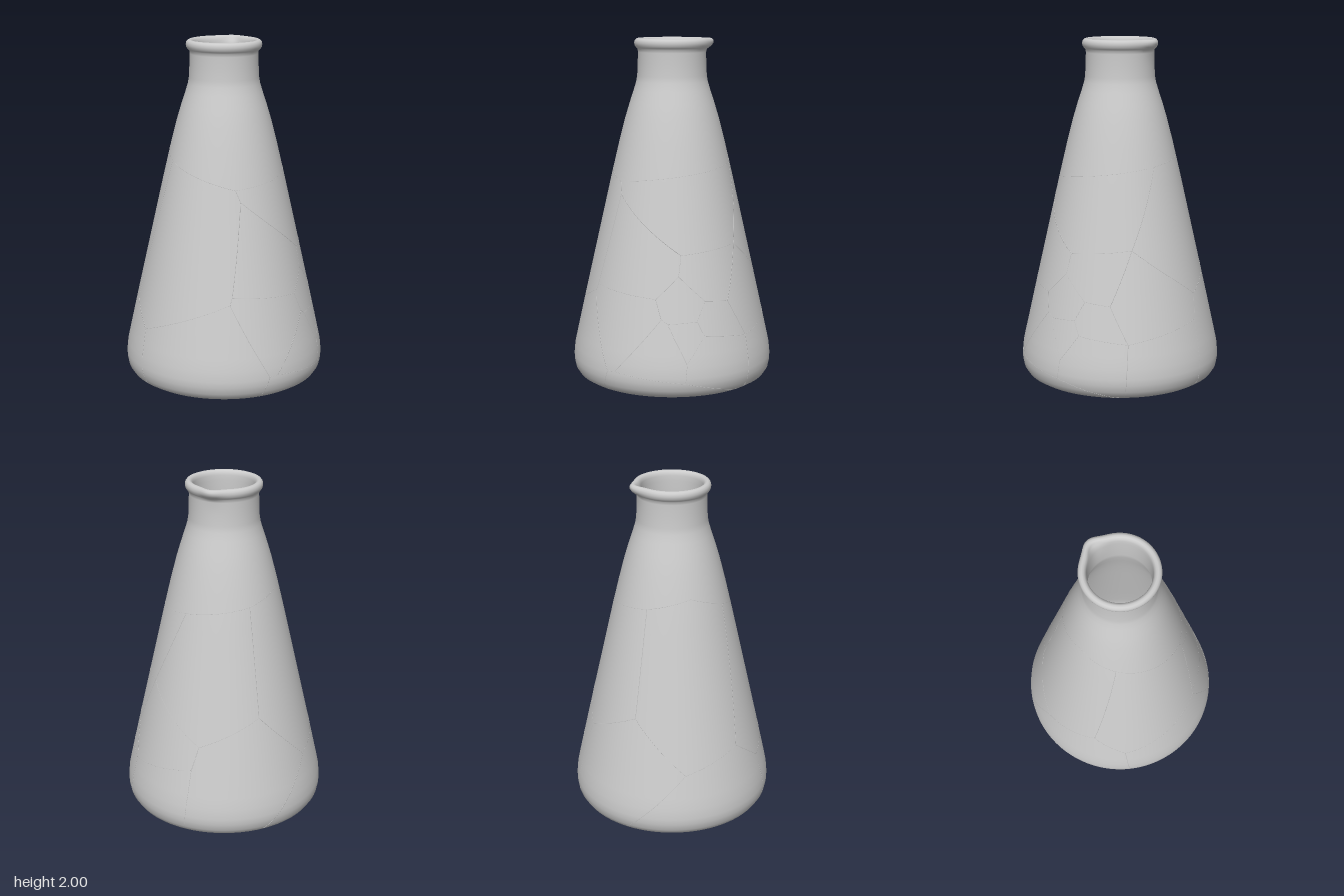
import * as THREE from 'three';
import { mergeVertices, mergeGeometries } from 'three/addons/utils/BufferGeometryUtils.js';

// Outer wall as [radius, height], from the base edge to below the lip
const OUTER = [
  [0.5, 0], [0.53, 0.006], [0.56, 0.024], [0.58, 0.055], [0.588, 0.095], [0.589, 0.13],
  [0.583, 0.19], [0.568, 0.26], [0.515, 0.5], [0.357, 1.2], [0.31, 1.4], [0.274, 1.54],
  [0.247, 1.63], [0.224, 1.7], [0.209, 1.75], [0.203, 1.785], [0.2, 1.85], [0.198, 1.92],
];
// Rolled lip, over the rim and into the neck
const LIP = [
  [0.2, 1.938], [0.209, 1.946], [0.217, 1.958], [0.22, 1.973], [0.217, 1.987], [0.209, 1.996],
  [0.198, 2], [0.187, 1.996], [0.179, 1.986], [0.175, 1.97], [0.174, 1.94],
];
// Inner wall, down to the floor
const INNER = [
  [0.173, 1.8], [0.185, 1.74], [0.215, 1.63], [0.243, 1.54], [0.28, 1.4], [0.327, 1.2],
  [0.485, 0.5], [0.54, 0.24], [0.558, 0.13], [0.55, 0.075], [0.52, 0.042], [0.48, 0.032], [0.47, 0.031],
];

// Crack junctions on the wall as [angle in degrees from the front, height]
const WALL = {
  a: [-90, 1.4], b: [-49, 1.32], c: [25, 1.19], d: [159, 1.29], y: [-135, 1.34],
  e: [29, 1.125], f: [86, 0.805], h: [20, 0.6], g: [18.5, 0.56], i: [69, 0.565],
  j: [84, 0.69], k: [101, 0.55], l: [73, 0.455], m: [77, 0.43], n: [95, 0.44],
  o: [99, 0.36], p: [88, 0.21], q: [118, 0.535], r: [129, 0.325], s: [133, 0.84],
  t: [-178, 0.55], A: [178, 0.41], u: [46, 0.145], v: [41, 0.14], P: [87, 0.1],
  w: [-41.6, 0.35], x: [-63, 0.5], X: [-101, 0.395], z: [-136, 0.71],
  // where cracks run over the bottom edge
  R: [127, 0], T: [175, 0], W: [-38, 0], V: [36, 0], Z: [-140, 0],
};
const WALL_CRACKS = ('ay ab bc cd dy ce ef eh hg hi gw gv wx xb xX XZ Xz zy zt tA tS sd sf fj ji jk il lm mn nk no ' +
  'mp op kq qr or qs rA rR AT lu uP pP PR uv vV wW').replace('tS', 'ts').split(' ');

// Crack junctions under the base as [x, z]
const BASE = { R: [0.4, -0.305], N: [0.1, 0.3], W: [-0.3, 0.39], Z: [-0.25, -0.42], T: [0.05, -0.5], V: [0.29, 0.4] };
const BASE_CRACKS = ['RN', 'NW', 'WZ', 'ZT', 'TR', 'NV'];

function outerRadius(y) {
  for (let i = 1; i < OUTER.length; i++) {
    const [r0, y0] = OUTER[i - 1], [r1, y1] = OUTER[i];
    if (y <= y1) return r0 + (r1 - r0) * (y - y0) / (y1 - y0);
  }
  return 0.2;
}

// Glass body, turned in one piece, with the pouring spout pulled out of the rim
function makeBody() {
  const profile = [[0, 0], [0.49, 0], ...OUTER, ...LIP, ...INNER, [0, 0.031]];
  const geo = new THREE.LatheGeometry(profile.map(([r, y]) => new THREE.Vector2(r, y)), 128);
  const pos = geo.attributes.position;
  for (let i = 0; i < pos.count; i++) {
    const x = pos.getX(i), y = pos.getY(i), z = pos.getZ(i);
    const r = Math.hypot(x, z);
    if (y < 1.9) continue;
    const off = Math.atan2(x, -z);
    const pull = 0.028 * Math.exp(-((off / 0.27) ** 2)) * THREE.MathUtils.smoothstep(y, 1.92, 1.985);
    pos.setXYZ(i, x * (r + pull) / r, y, z * (r + pull) / r);
  }
  geo.deleteAttribute('normal');
  geo.deleteAttribute('uv');
  const merged = mergeVertices(geo, 1e-5);
  merged.computeVertexNormals();
  return merged;
}

// Hairline along a list of points
function hairline(points) {
  return new THREE.TubeGeometry(new THREE.CatmullRomCurve3(points), points.length * 2, 0.002, 4);
}

function wallCrack([from, to]) {
  const [a0, y0] = WALL[from];
  const [a1, y1] = WALL[to];
  const turn = ((a1 - a0 + 540) % 360) - 180;
  const steps = 14, points = [];
  for (let i = 0; i <= steps; i++) {
    const t = i / steps;
    const a = THREE.MathUtils.degToRad(a0 + turn * t);
    const y = y0 + (y1 - y0) * t;
    const r = outerRadius(y) - 0.001;
    points.push(new THREE.Vector3(r * Math.sin(a), Math.max(y, 0.0015), r * Math.cos(a)));
  }
  return hairline(points);
}

function baseCrack([from, to]) {
  const [p, q] = [BASE[from], BASE[to]].map(([x, z]) => new THREE.Vector3(x, 0.0015, z));
  return hairline([p, q]);
}

export function createModel() {
  const group = new THREE.Group();
  group.name = 'crackedFlask';
  const glass = new THREE.MeshStandardMaterial({ color: 0xcccccc });
  const add = (name, geometry) => {
    const mesh = new THREE.Mesh(geometry, glass);
    mesh.name = name;
    group.add(mesh);
  };
  add('flaskBody', makeBody());
  add('wallCracks', mergeGeometries(WALL_CRACKS.map(wallCrack)));
  add('baseCracks', mergeGeometries(BASE_CRACKS.map(baseCrack)));
  return group;
}
